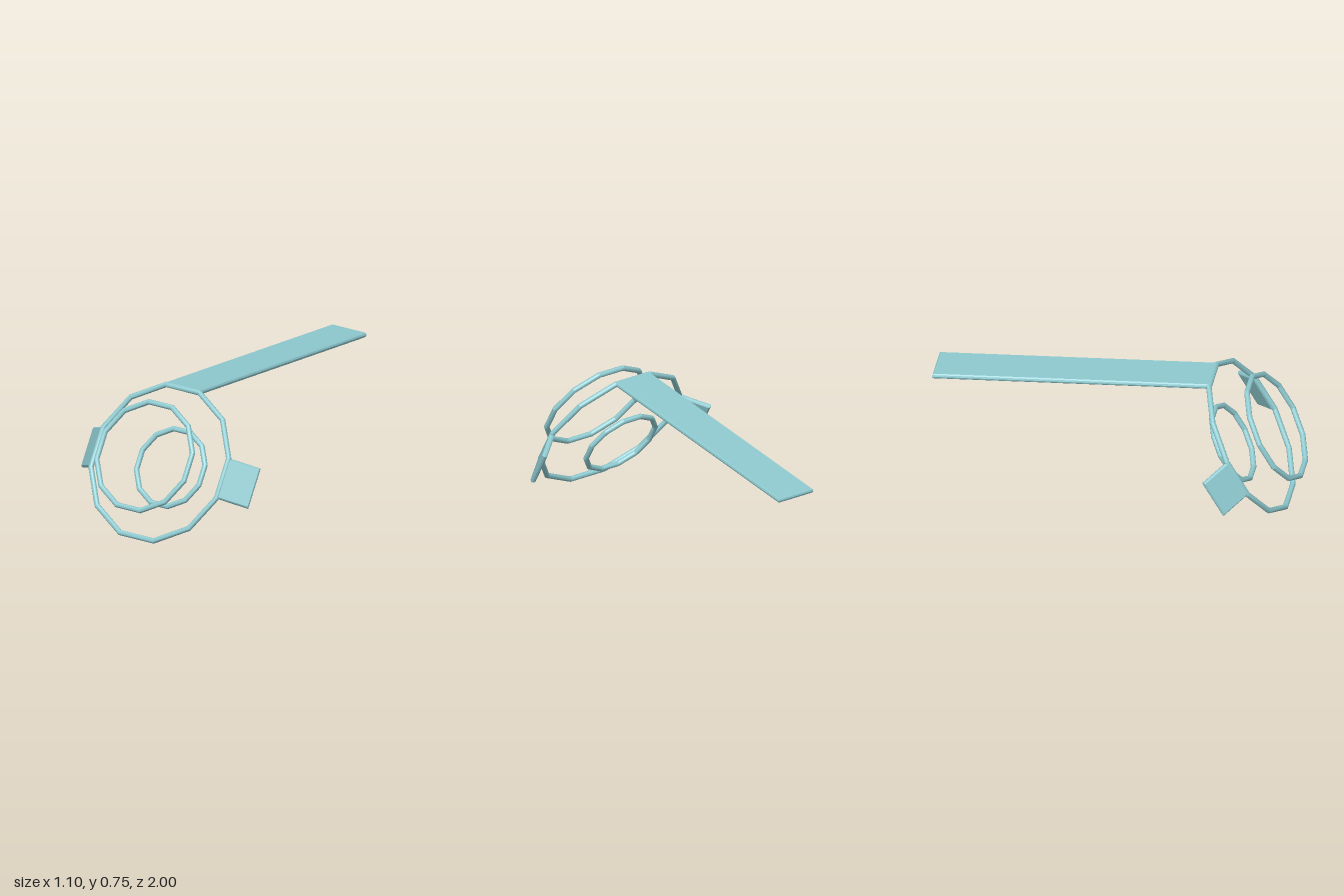
import * as THREE from 'three';
import { toCreasedNormals } from 'three/addons/utils/BufferGeometryUtils.js';
import { ConvexGeometry } from 'three/addons/geometries/ConvexGeometry.js';

const TUBE = 0.0148;
const SIDE = Math.PI / 12; // half the angle of one side of a twelve-sided ring

// Twelve-sided ring of round tube, flat side upwards; size is the centre-to-side distance
function ringGeometry(size) {
  const geo = new THREE.TorusGeometry(size / Math.cos(SIDE), TUBE, 16, 12);
  geo.rotateZ(SIDE);
  return toCreasedNormals(geo, THREE.MathUtils.degToRad(26));
}

// Flat plate in the xy plane with rounded-off edges
function slabGeometry(width, length) {
  const points = [];
  const levels = [[0, 0], [0.003, 0.009], [0.009, 0.0145]]; // inset, height
  for (const [inset, h] of levels)
    for (const sx of [-1, 1])
      for (const sy of [-1, 1])
        for (const sz of [-1, 1])
          points.push(new THREE.Vector3(sx * (width / 2 - inset), sy * (length / 2 - inset), sz * h));
  return new ConvexGeometry(points);
}

export function createModel() {
  const model = new THREE.Group();
  model.name = 'ringFrameWithStrap';
  const paleTeal = new THREE.MeshStandardMaterial({ color: 0x8ecad0 });
  paleTeal.name = 'paleTeal';

  function add(parent, geo, name) {
    const mesh = new THREE.Mesh(geo, paleTeal);
    mesh.name = name;
    parent.add(mesh);
    return mesh;
  }

  // Three parallel rings leaning back by 30 degrees
  const rings = [
    ['mainRing', 0.414, 0.378, 0.705],
    ['frontRing', 0.288, 0.455, 0.842],
    ['rearRing', 0.206, 0.322, 0.607],
  ];
  for (const [name, size, y, z] of rings) {
    const ring = add(model, ringGeometry(size), name);
    ring.position.set(0, y, z);
    ring.rotation.x = -Math.PI / 6;
  }

  // Side plates swept back from the main ring
  const plates = new THREE.Group();
  plates.name = 'sidePlates';
  plates.position.set(0, 0.378, 0.705);
  plates.rotation.x = -Math.PI / 6;
  model.add(plates);
  for (const s of [-1, 1]) {
    const plate = add(plates, slabGeometry(0.19, 0.226), s > 0 ? 'leftPlate' : 'rightPlate');
    plate.position.set(s * 0.476, 0, -0.06);
    plate.rotation.y = s * THREE.MathUtils.degToRad(43);
  }

  // Long strap running backwards from the top of the main ring
  const front = new THREE.Vector3(0, 0.738, 0.508);
  const back = new THREE.Vector3(0, 0.627, -1);
  const strap = add(model, slabGeometry(0.228, front.distanceTo(back)), 'strap');
  strap.position.copy(front).add(back).multiplyScalar(0.5);
  strap.rotation.x = -Math.PI / 2 - Math.atan2(front.y - back.y, front.z - back.z);

  return model;
}
